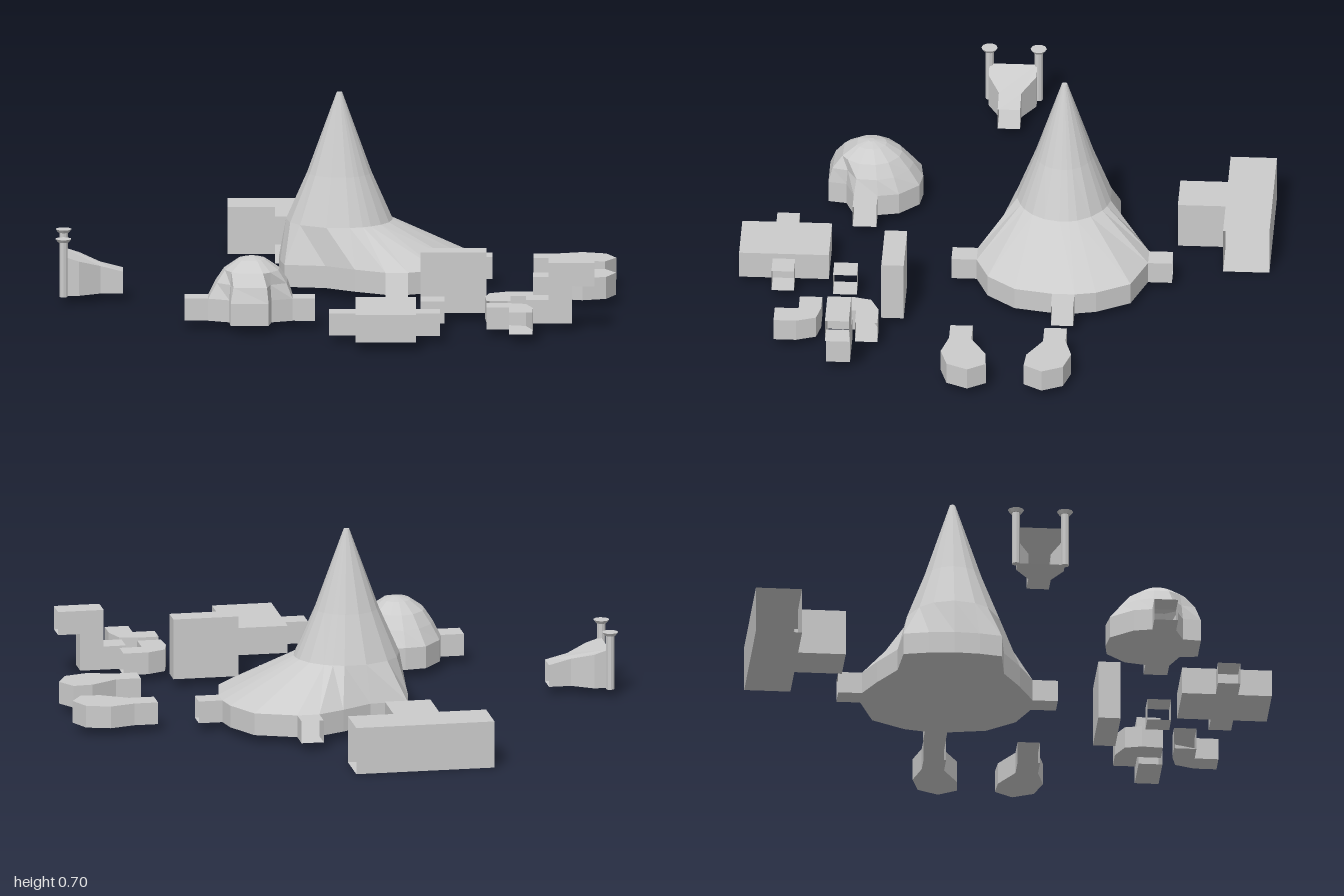
import * as THREE from 'three';

const material = new THREE.MeshStandardMaterial({ color: 0xcccccc, flatShading: true, side: THREE.DoubleSide });
const FLOOR = 0.03, TOP = 0.11;

// Thin-walled shell through stacked loops of points; edges in "open" get no wall in the lowest band
function shell(name, loops, open = []) {
  const pos = [];
  const tri = (...points) => points.forEach((p) => pos.push(p.x, p.y, p.z));
  const n = loops[0].length;
  for (let k = 0; k < loops.length - 1; k++) {
    const low = loops[k], high = loops[k + 1];
    for (let i = 0; i < n; i++) {
      if (k === 0 && open.includes(i)) continue;
      const j = (i + 1) % n;
      tri(low[i], high[i], high[j]);
      tri(low[i], high[j], low[j]);
    }
  }
  const flat = (loop) => loop.map((p) => new THREE.Vector2(p.x, p.z));
  const top = loops[loops.length - 1];
  for (const [a, b, c] of THREE.ShapeUtils.triangulateShape(flat(loops[0]), [])) {
    tri(loops[0][a], loops[0][b], loops[0][c]);
  }
  for (const [a, b, c] of THREE.ShapeUtils.triangulateShape(flat(top), [])) tri(top[a], top[c], top[b]);
  const geometry = new THREE.BufferGeometry();
  geometry.setAttribute('position', new THREE.Float32BufferAttribute(pos, 3));
  geometry.computeVertexNormals();
  const mesh = new THREE.Mesh(geometry, material);
  mesh.name = name;
  return mesh;
}

const loopAt = (outline, y) =>
  outline.map(([x, z]) => new THREE.Vector3(x, typeof y === 'function' ? y(x) : y, z));

// Room with upright walls over an [x, z] outline
const room = (name, outline, open = [], y0 = FLOOR, y1 = TOP) =>
  shell(name, [loopAt(outline, y0), loopAt(outline, y1)], open);

const rect = (x0, x1, z0, z1) => [[x0, z0], [x1, z0], [x1, z1], [x0, z1]];

// Short square corridor, open at both ends along x or z
const tunnel = (name, x0, x1, z0, z1, axis) =>
  room(name, rect(x0, x1, z0, z1), axis === 'x' ? [1, 3] : [0, 2]);

// Room whose roof narrows through rings [y, rx, rz] around a centre
function roofedRoom(name, outline, [cx, cz], rings, open) {
  const loops = [loopAt(outline, FLOOR), loopAt(outline, TOP)];
  for (const [y, rx, rz] of rings) {
    loops.push(outline.map(([x, z]) => {
      const dx = x - cx, dz = z - cz, d = Math.hypot(dx, dz);
      const r = Math.min(1 / Math.hypot(dx / d / rx, dz / d / rz), d * 0.95);
      return new THREE.Vector3(cx + (dx / d) * r, y, cz + (dz / d) * r);
    }));
  }
  return shell(name, loops, open);
}

export function createModel() {
  const model = new THREE.Group();
  model.name = 'tunnelKit';

  // Great spired chamber with three corridor stubs
  const spire = new THREE.Group();
  spire.name = 'spireChamber';
  spire.add(
    roofedRoom('spireHall', [
      [0.47, -0.27], [0.47, -0.19], [0.445, -0.055], [0.365, 0.045], [0.255, 0.09], [0.175, 0.09],
      [0.065, 0.035], [-0.04, -0.03], [-0.185, -0.05], [-0.2, -0.13], [-0.205, -0.22], [-0.195, -0.31],
      [-0.175, -0.4], [-0.04, -0.41], [0.07, -0.475], [0.165, -0.52], [0.245, -0.52], [0.39, -0.465],
      [0.455, -0.345],
    ], [0.01, -0.21], [[0.245, 0.19, 0.17], [0.415, 0.115, 0.105], [0.705, 0.01, 0.01]], [0, 4, 15]),
    tunnel('spireSideTunnel', 0.47, 0.555, -0.27, -0.19, 'x'),
    tunnel('spireFrontTunnel', 0.175, 0.255, 0.09, 0.18, 'z'),
    tunnel('spireBackTunnel', 0.165, 0.245, -0.605, -0.52, 'z'),
  );
  model.add(spire);

  // Domed chamber with a front alcove
  const dome = new THREE.Group();
  dome.name = 'domeChamber';
  dome.add(
    roofedRoom('domeHall', [
      [-0.455, 0.465], [-0.44, 0.4], [-0.375, 0.32], [-0.3, 0.31], [-0.235, 0.32], [-0.17, 0.39],
      [-0.155, 0.465], [-0.155, 0.55], [-0.23, 0.58], [-0.24, 0.645], [-0.375, 0.645], [-0.38, 0.58],
      [-0.455, 0.55],
    ], [-0.3, 0.495], [[0.165, 0.13, 0.15], [0.21, 0.1, 0.11], [0.245, 0.05, 0.055], [0.255, 0.012, 0.012]],
    [6, 12]),
    tunnel('domeTunnelRight', -0.54, -0.455, 0.465, 0.55, 'x'),
    tunnel('domeTunnelLeft', -0.155, -0.075, 0.465, 0.55, 'x'),
  );
  model.add(dome);

  // Sloping entrance with two capped posts
  const entrance = new THREE.Group();
  entrance.name = 'entrance';
  const passage = [
    [-0.97, -0.06], [-0.915, -0.06], [-0.84, -0.01], [-0.76, -0.01],
    [-0.76, 0.07], [-0.84, 0.07], [-0.915, 0.11], [-0.97, 0.11],
  ];
  const slope = (x) => (x < -0.84 ? 0.13 + (-0.84 - x) * 0.32 : 0.11 + (-0.76 - x) * 0.25);
  entrance.add(shell('entrancePassage', [loopAt(passage, FLOOR), loopAt(passage, slope)], [3, 7]));
  for (const z of [-0.065, 0.11]) {
    const post = new THREE.Mesh(new THREE.CylinderGeometry(0.015, 0.015, 0.2, 8), material);
    post.position.set(-0.971, 0.127, z);
    post.name = 'entrancePost';
    const cap = new THREE.Mesh(new THREE.CylinderGeometry(0.029, 0.02, 0.012, 10), material);
    cap.position.set(-0.971, 0.231, z);
    cap.name = 'postCap';
    entrance.add(post, cap);
  }
  model.add(entrance);

  // Pair of rounded dead-end caves, mirrored in z
  const cave = [
    [0.7, -0.255], [0.785, -0.255], [0.875, -0.28], [0.96, -0.255], [0.995, -0.18],
    [0.955, -0.115], [0.885, -0.12], [0.79, -0.175], [0.7, -0.175],
  ];
  const mirrored = cave.map(([x, z]) => [x, -0.095 - z]).reverse();
  model.add(room('backCave', cave, [8]), room('frontCave', mirrored, [8]));

  // Large T-junction corridor
  model.add(room('tJunction', [
    [-0.39, -0.945], [0.11, -0.945], [0.11, -0.78], [-0.055, -0.78],
    [-0.055, -0.61], [-0.22, -0.61], [-0.22, -0.78], [-0.39, -0.78],
  ], [1, 4, 7], 0, 0.17));

  // Rectangular room with two corridor stubs
  const hall = new THREE.Group();
  hall.name = 'squareChamber';
  hall.add(
    room('squareHall', rect(0.07, 0.285, 0.615, 0.935), [], FLOOR, 0.13),
    tunnel('squareTunnelRight', -0.025, 0.07, 0.735, 0.815, 'x'),
    tunnel('squareTunnelLeft', 0.285, 0.37, 0.735, 0.815, 'x'),
  );
  model.add(hall);

  // Tall shaft block and straight connector
  model.add(
    room('tallBlock', rect(0.3, 0.535, 0.335, 0.415), [], FLOOR, 0.25),
    tunnel('straightConnector', 0.3, 0.385, 0.51, 0.595, 'x'),
  );

  // Two rounded corner corridors
  model.add(
    room('backBend', [
      [0.53, 0.51], [0.545, 0.45], [0.61, 0.42], [0.7, 0.42],
      [0.7, 0.5], [0.62, 0.5], [0.62, 0.585], [0.535, 0.585],
    ], [3, 6]),
    room('frontBend', [
      [0.535, 0.625], [0.61, 0.625], [0.675, 0.64], [0.7, 0.71],
      [0.7, 0.79], [0.615, 0.79], [0.615, 0.705], [0.535, 0.705],
    ], [4, 7]),
  );

  // Vertical step corridor: side profile [x, height] laid flat, then turned upright
  const step = room('stepCorridor', [
    [0.675, 0.03], [0.84, 0.03], [0.84, 0.165], [0.92, 0.165],
    [0.92, 0.25], [0.755, 0.25], [0.755, 0.115], [0.675, 0.115],
  ], [3, 7], -0.595, -0.51);
  step.geometry.rotateX(-Math.PI / 2);
  model.add(step);

  return model;
}
